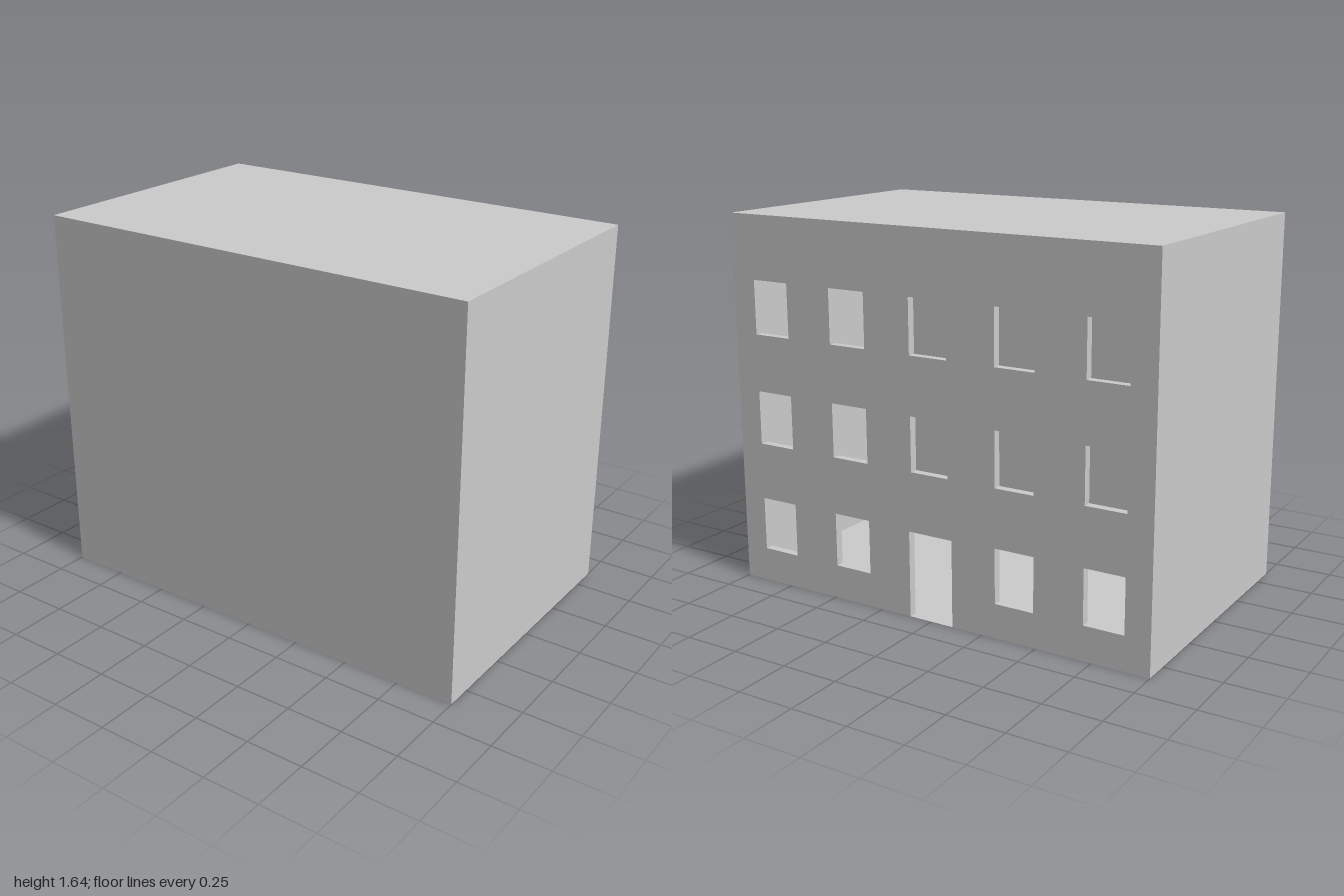
import * as THREE from 'three';

const W = 2, H = 1.637, D = 1.228; // overall size
const WALL = 0.036;                // depth of the window and door reveals

export function createModel() {
  const building = new THREE.Group();
  building.name = 'building';
  const mat = new THREE.MeshStandardMaterial({ color: 0xcccccc, side: THREE.DoubleSide });

  // Thin panel: name, size, position, rotation (normals face outward)
  const panel = (name, w, h, pos, rot) => {
    const mesh = new THREE.Mesh(new THREE.PlaneGeometry(w, h), mat);
    mesh.name = name;
    mesh.position.set(...pos);
    mesh.rotation.set(...rot);
    building.add(mesh);
  };
  const q = Math.PI / 2;
  panel('frontWall', W, H, [0, H / 2, D / 2], [0, 0, 0]);
  panel('leftWall', D, H, [W / 2, H / 2, 0], [0, q, 0]);
  panel('rightWall', D, H, [-W / 2, H / 2, 0], [0, -q, 0]);
  panel('roof', W, D, [0, H, 0], [-q, 0, 0]);
  panel('floor', W, D, [0, 0, 0], [q, 0, 0]);

  // Back wall outline, notched at the bottom for the doorway
  const doorHalf = 0.105, doorTop = 0.377;
  const outline = new THREE.Shape([
    [-W / 2, 0], [-doorHalf, 0], [-doorHalf, doorTop], [doorHalf, doorTop],
    [doorHalf, 0], [W / 2, 0], [W / 2, H], [-W / 2, H],
  ].map(([x, y]) => new THREE.Vector2(x, y)));

  // Window openings: five columns, three storeys, the door replacing one
  const halfW = 0.089, winH = 0.236;
  for (let row = 0; row < 3; row++) {
    for (let col = -2; col <= 2; col++) {
      if (row === 0 && col === 0) continue;
      const x = col * 0.4, y = 0.149 + row * 0.487;
      outline.holes.push(new THREE.Path([
        new THREE.Vector2(x - halfW, y), new THREE.Vector2(x - halfW, y + winH),
        new THREE.Vector2(x + halfW, y + winH), new THREE.Vector2(x + halfW, y),
      ]));
    }
  }
  const backWall = new THREE.Mesh(
    new THREE.ExtrudeGeometry(outline, { depth: WALL, bevelEnabled: false }), mat);
  backWall.name = 'backWallWithOpenings';
  backWall.position.z = -D / 2;
  building.add(backWall);

  return building;
}
